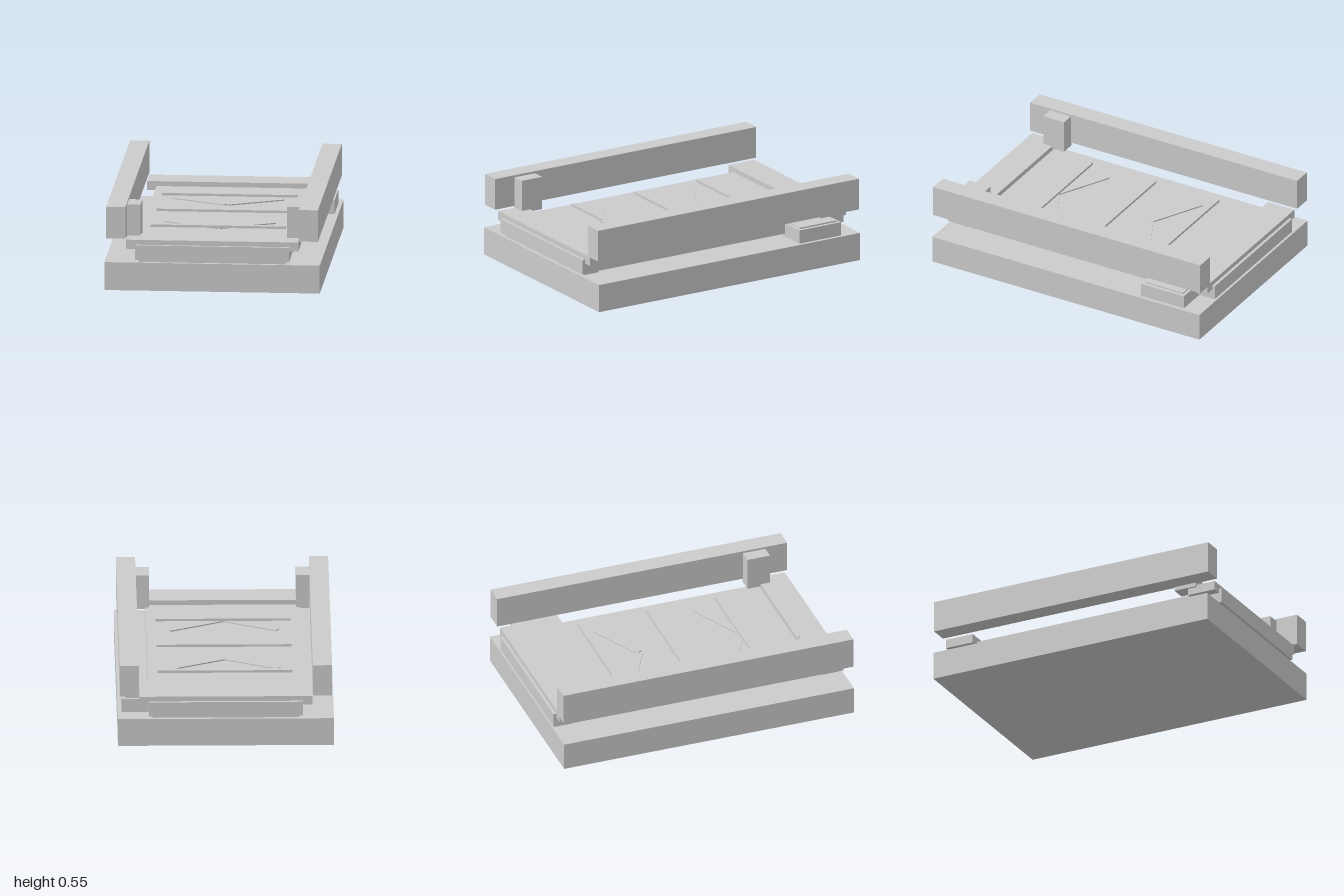
import * as THREE from 'three';

const material = new THREE.MeshStandardMaterial({ color: 0xcccccc, flatShading: true });

export function createModel() {
  const model = new THREE.Group();
  model.name = 'conveyor';

  const add = (name, geometry, x, y, z) => {
    const mesh = new THREE.Mesh(geometry, material);
    mesh.name = name;
    mesh.position.set(x, y, z);
    model.add(mesh);
    return mesh;
  };
  // Box given by its extents along each axis
  const box = (name, x0, x1, y0, y1, z0, z1) =>
    add(name, new THREE.BoxGeometry(x1 - x0, y1 - y0, z1 - z0),
      (x0 + x1) / 2, (y0 + y1) / 2, (z0 + z1) / 2);

  // Base slab and belt bed
  box('base', -0.7, 0.7, 0, 0.185, -1, 1);
  box('beltBed', -0.5, 0.5, 0.204, 0.3, -1, 1);

  // Raised end covers and the supports under the bed
  for (const s of [-1, 1]) {
    const end = s > 0 ? 'front' : 'back';
    const z = s * 0.883;
    box(end + 'EndCover', -0.56, 0.56, 0.272, 0.332, z - 0.098, z + 0.098);
    box(end + 'Support', -0.475, 0.475, 0.18, 0.206, s * 0.92 - 0.057, s * 0.92 + 0.057);
  }

  // Return rollers, mostly sunk into the base
  for (const z of [0.13, -0.3]) {
    const roller = add('returnRoller', new THREE.CylinderGeometry(0.05, 0.05, 0.9, 8), 0, 0.147, z);
    roller.rotation.z = Math.PI / 2;
  }

  // Side rails and front sensor posts
  for (const s of [-1, 1]) {
    const side = s > 0 ? 'left' : 'right';
    const rail = box(side + 'Rail', 0.563, 0.688, 0.343, 0.552, -1, 1);
    const post = box(side + 'Post', 0.476, 0.574, 0.317, 0.538, 0.695, 0.85);
    rail.position.x *= s;
    post.position.x *= s;
  }

  // Cross slats on the belt
  for (const z of [-0.474, 0, 0.474]) {
    box('slat', -0.438, 0.438, 0.312, 0.328, z - 0.019, z + 0.019);
  }

  // Direction chevrons, two mirrored bars each
  for (const z of [-0.315, 0.385]) {
    for (const s of [-1, 1]) {
      const bar = add('chevronBar', new THREE.BoxGeometry(0.39, 0.008, 0.042), s * 0.178, 0.309, z);
      bar.rotation.y = s * 0.47;
    }
  }

  // Drive housing with its lid
  box('driveHousing', 0.475, 0.675, 0.185, 0.275, -0.87, -0.55);
  box('driveLid', 0.5, 0.652, 0.274, 0.284, -0.85, -0.57);

  return model;
}
